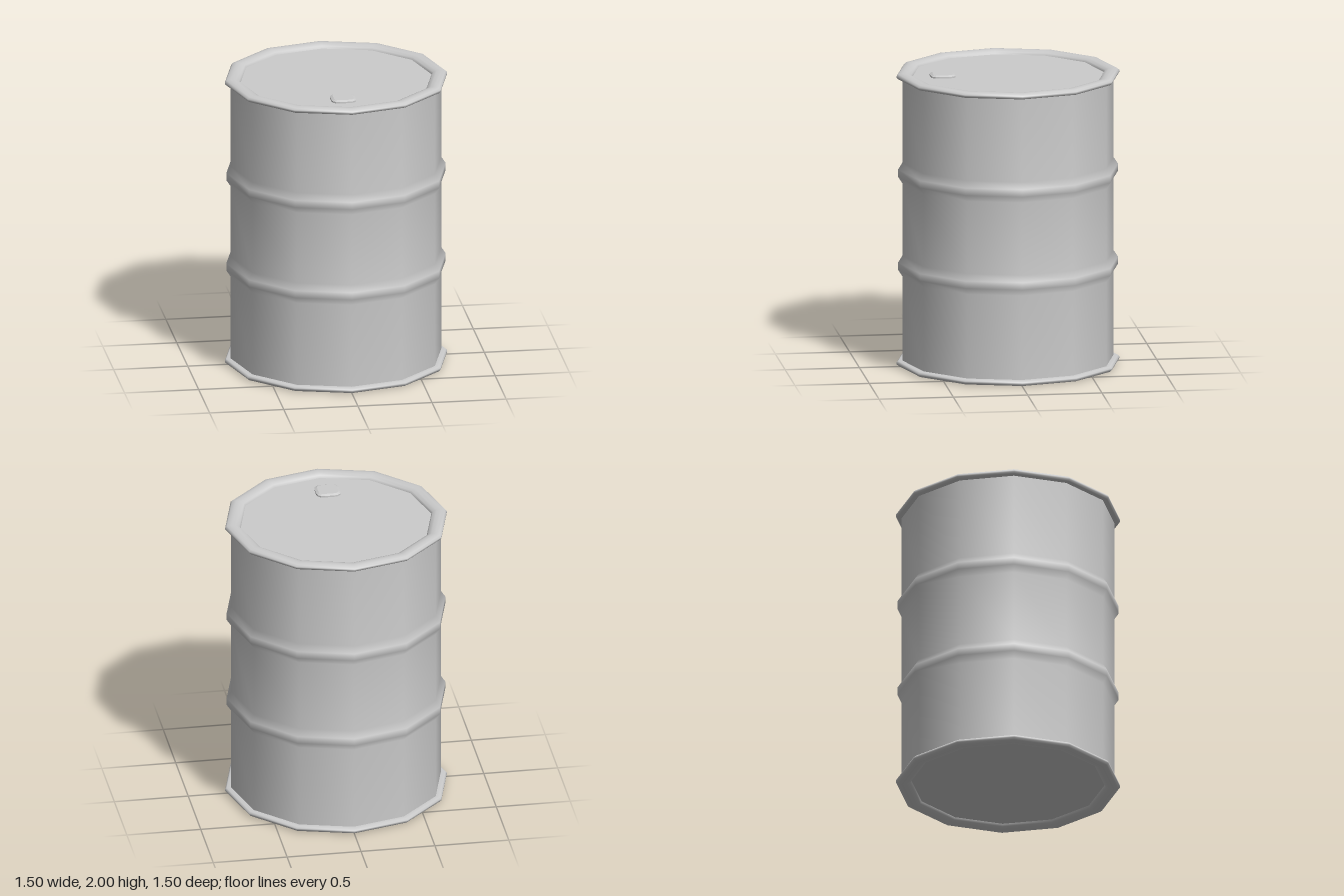
import * as THREE from 'three';

const SIDES = 12;

export function createModel() {
  const model = new THREE.Group();
  const material = new THREE.MeshStandardMaterial({ color: 0xcccccc });

  const add = (name, geometry) => {
    const mesh = new THREE.Mesh(geometry, material);
    mesh.name = name;
    model.add(mesh);
    return mesh;
  };
  const lathe = (points) =>
    new THREE.LatheGeometry(points.map(([r, y]) => new THREE.Vector2(r, y)), SIDES);

  // Wall with two rolled hoops, smooth along its whole height
  const wall = [[0.71, 0.03]];
  for (const y of [0.685, 1.32]) {
    wall.push([0.71, y - 0.07], [0.74, y - 0.025], [0.74, y + 0.025], [0.71, y + 0.07]);
  }
  wall.push([0.71, 1.97]);
  add('drumWall', lathe(wall));

  // Rolled rims, the lower one mirrored from the upper one
  const rim = [
    [0.645, 1.96], [0.71, 1.96], [0.74, 1.962], [0.75, 1.972], [0.75, 1.983],
    [0.738, 1.995], [0.71, 2], [0.68, 1.997], [0.655, 1.987], [0.645, 1.972], [0.645, 1.96],
  ];
  add('topRim', lathe(rim));
  add('bottomRim', lathe(rim.map(([r, y]) => [r, 2 - y]).reverse()));

  // Flat recessed end plates
  for (const [name, y, tilt] of [['lid', 1.972, -1], ['base', 0.028, 1]]) {
    const plate = add(name, new THREE.CircleGeometry(0.66, SIDES));
    plate.rotation.x = tilt * Math.PI / 2;
    plate.position.y = y;
  }

  // Rounded square bung cap with a chamfered edge
  const h = 0.066, c = 0.035;
  const outline = new THREE.Shape();
  outline.moveTo(-h + c, -h);
  outline.lineTo(h - c, -h);
  outline.quadraticCurveTo(h, -h, h, -h + c);
  outline.lineTo(h, h - c);
  outline.quadraticCurveTo(h, h, h - c, h);
  outline.lineTo(-h + c, h);
  outline.quadraticCurveTo(-h, h, -h, h - c);
  outline.lineTo(-h, -h + c);
  outline.quadraticCurveTo(-h, -h, -h + c, -h);
  const cap = add('bungCap', new THREE.ExtrudeGeometry(outline, {
    depth: 0.01, curveSegments: 3,
    bevelEnabled: true, bevelThickness: 0.008, bevelSize: 0.017, bevelSegments: 1,
  }));
  cap.rotation.x = -Math.PI / 2;
  cap.position.set(-0.017, 1.972, 0.438);

  return model;
}
